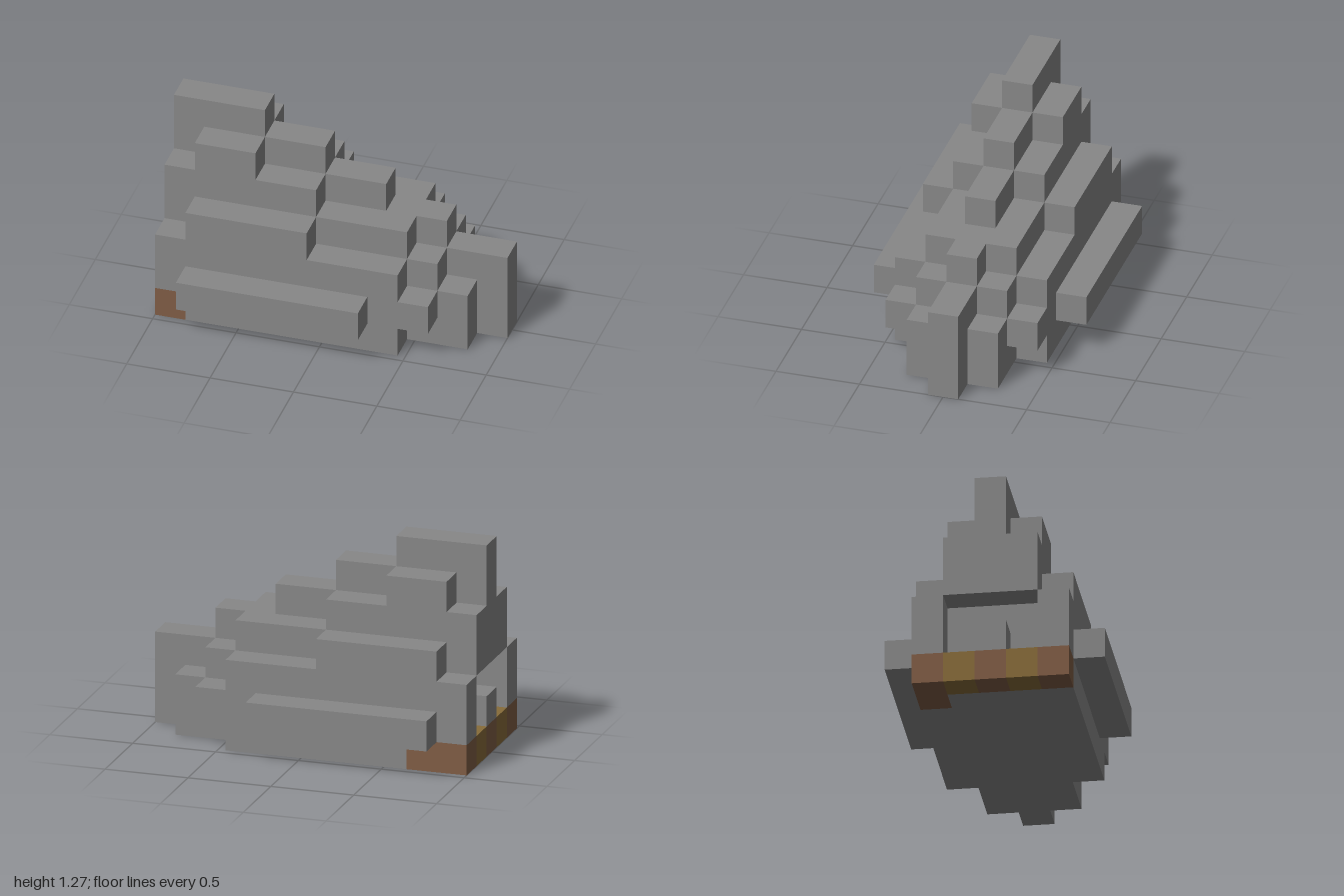
import * as THREE from 'three';

const U = 2 / 11; // edge of one block

function material(name, color) {
  const m = new THREE.MeshStandardMaterial({ color });
  m.name = name;
  return m;
}

export function createModel() {
  const stone = material('stone grey', 0x888888);
  const darkWood = material('dark wood brown', 0x805d45);
  const lightWood = material('light wood ochre', 0x886c3a);

  const model = new THREE.Group();
  model.name = 'steppedRockWithHollow';

  // Box spanning block columns x0..x1 and heights y0..y1 in row z, one block deep
  function block(parent, name, mat, z, [x0, x1, y0, y1]) {
    const geo = new THREE.BoxGeometry((x1 - x0) * U, (y1 - y0) * U, U);
    const mesh = new THREE.Mesh(geo, mat);
    mesh.position.set((x0 + x1) * U / 2 - 1, (y0 + y1) * U / 2, z * U);
    mesh.name = name;
    parent.add(mesh);
  }

  function row(name, z, boxes) {
    const group = new THREE.Group();
    group.name = name;
    boxes.forEach((b, i) => block(group, `${name}Step${i + 1}`, stone, z, b));
    model.add(group);
  }

  // Central ridge, with one stone lying in the hollow
  row('centralRidge', 0, [
    [0, 3, 3, 7], [1, 3, 0, 3], [3, 5, 0, 6], [5, 7, 0, 5],
    [7, 9, 0, 4], [9, 11, 0, 3],
  ]);
  block(model, 'hollowStone', stone, 0, [0, 1, 1, 2]);

  for (const s of [1, -1]) {
    const side = s > 0 ? 'front' : 'back';
    // Inner slope, overhanging the hollow
    row(side + 'InnerSlope', s, [
      [0, 1, 3, 5], [1, 3, 0, 6], [3, 5, 0, 5],
      [5, 8, 0, 4], [8, 9, 0, 3], [9, 10, 0, 2],
    ]);
    // Outer slope; the wooden footing runs one block longer at the back
    const woodEnd = s > 0 ? 1 : 2;
    row(side + 'OuterSlope', 2 * s, [
      [0, 1, 1, 3], [1, 5, 1, 4], [5, 8, 1, 3], [8, 9, 1, 2], [woodEnd, 8, 0, 1],
    ]);
    // Side ledge
    row(side + 'Ledge', 3 * s, [[1, 7, 1, 2]]);
    // Wooden floor of the hollow
    block(model, side + 'Footing', darkWood, 2 * s, [0, woodEnd, 0, 1]);
    block(model, side + 'FloorPlank', lightWood, s, [0, 1, 0, 1]);
  }
  block(model, 'middleFloorPlank', darkWood, 0, [0, 1, 0, 1]);

  return model;
}
